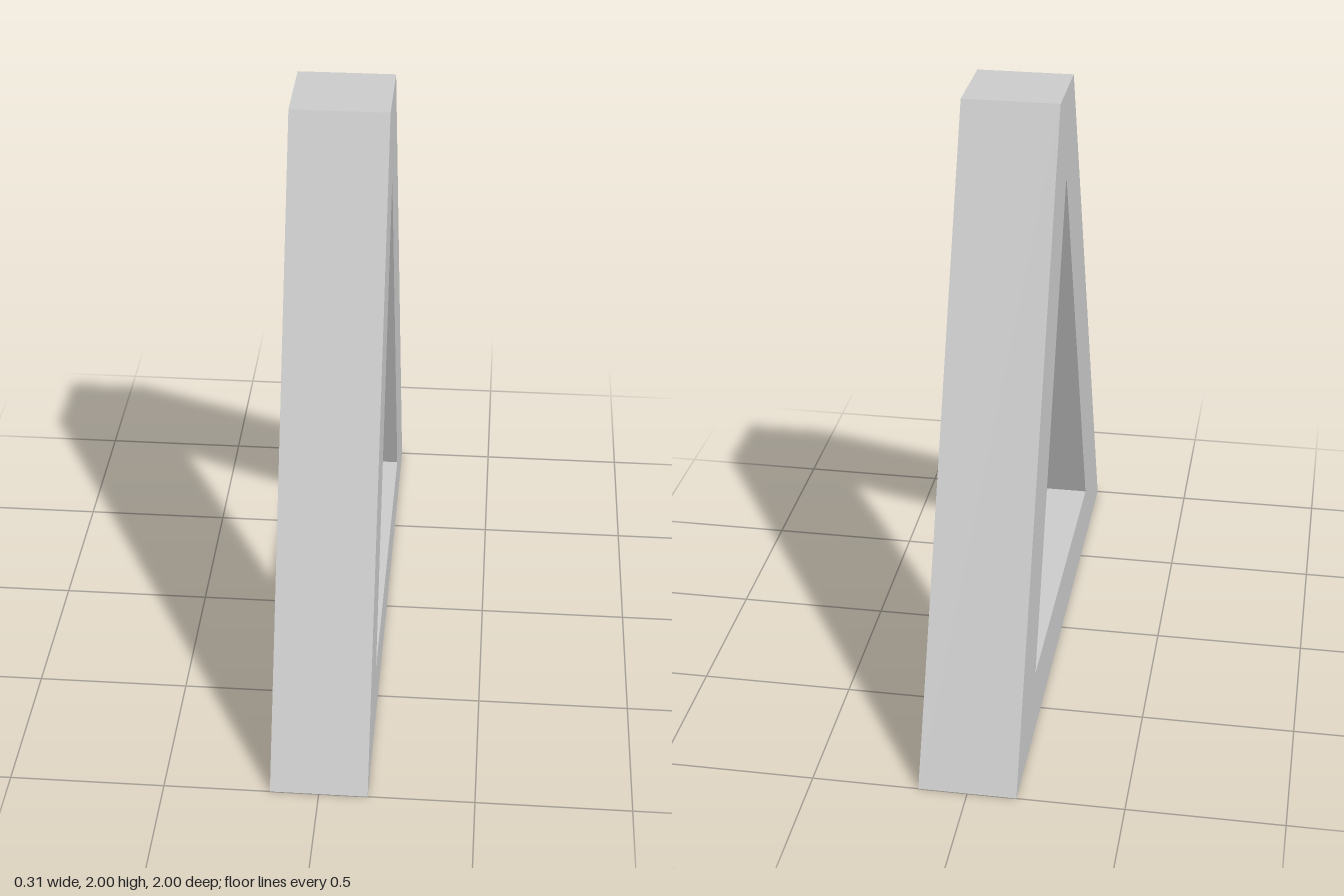
import * as THREE from 'three';

const WIDTH = 0.314;

// Symmetric four-sided outline: half width at the bottom and at the top
const trapezoid = (bottomHalf, topHalf, y0, y1) => [
  new THREE.Vector2(-bottomHalf, y0),
  new THREE.Vector2(bottomHalf, y0),
  new THREE.Vector2(topHalf, y1),
  new THREE.Vector2(-topHalf, y1),
];

export function createModel() {
  const group = new THREE.Group();
  group.name = 'triangularStand';

  // Flat-topped A-frame with a narrow triangular opening
  const outline = new THREE.Shape(trapezoid(1, 0.147, 0, 2));
  outline.holes.push(new THREE.Path(trapezoid(0.614, 0.008, 0.213, 1.69)));

  // Extrude across the width, then turn the profile into the z-y plane
  const geometry = new THREE.ExtrudeGeometry(outline, { depth: WIDTH, bevelEnabled: false });
  geometry.translate(0, 0, -WIDTH / 2);
  geometry.rotateY(Math.PI / 2);

  const frame = new THREE.Mesh(
    geometry,
    new THREE.MeshStandardMaterial({ color: 0xcccccc, flatShading: true })
  );
  frame.name = 'frame';
  group.add(frame);
  return group;
}
